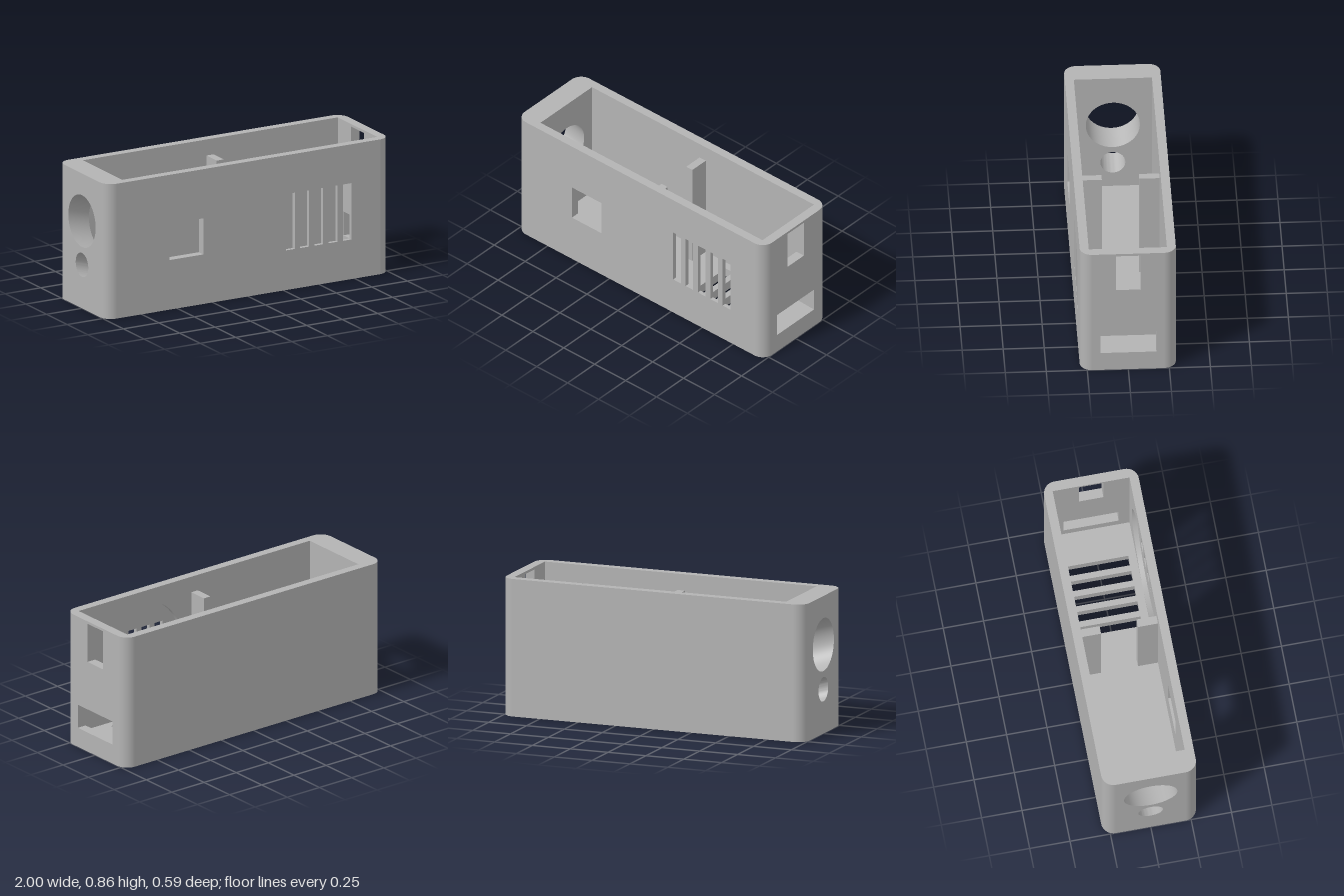
import * as THREE from 'three';
import { toCreasedNormals } from 'three/addons/utils/BufferGeometryUtils.js';

const H = 0.857, W = 1, D = 0.293, R = 0.075;        // outer shell
const X0 = -0.855, X1 = 0.94, Z = 0.238, FLOOR = 0.06; // cavity

// Frames turn (u, v, distance outward) into a position for each side
const frames = {
  front: (u, v, d) => [u, v, d],
  back: (u, v, d) => [-u, v, -d],
  right: (u, v, d) => [-d, v, u],
  left: (u, v, d) => [d, v, -u],
  bottom: (u, v, d) => [u, -d, v],
  top: (u, v, d) => [u, d, -v],
};

const rect = (u0, u1, v0, v1) =>
  [[u0, v0], [u1, v0], [u1, v1], [u0, v1]].map(p => new THREE.Vector2(...p));

const circle = (u, v, r, n = 64) => Array.from({ length: n }, (_, i) => {
  const a = i / n * Math.PI * 2;
  return new THREE.Vector2(u + r * Math.cos(a), v + r * Math.sin(a));
});

function roundedRect(w, h, r, n = 10) {
  const pts = [];
  [[1, 1], [-1, 1], [-1, -1], [1, -1]].forEach(([sx, sy], q) => {
    for (let i = 0; i <= n; i++) {
      const a = (q + i / n) * Math.PI / 2;
      pts.push(new THREE.Vector2(sx * (w - r) + r * Math.cos(a), sy * (h - r) + r * Math.sin(a)));
    }
  });
  return pts;
}

export function createModel() {
  const model = new THREE.Group();
  model.name = 'enclosure';
  const grey = new THREE.MeshStandardMaterial({ color: 0xb3b3b3, side: THREE.DoubleSide });
  grey.name = 'grey plastic';

  const add = (name, geometry, x = 0, y = 0, z = 0) => {
    const mesh = new THREE.Mesh(geometry, grey);
    mesh.name = name;
    mesh.position.set(x, y, z);
    model.add(mesh);
  };

  // Flat face with holes; inward faces are turned over
  function face(name, frame, outline, holes, d, inward = false) {
    const shape = new THREE.Shape(outline);
    shape.holes = holes.map(h => new THREE.Path(h));
    const geo = new THREE.ShapeGeometry(shape);
    const pos = geo.attributes.position;
    for (let i = 0; i < pos.count; i++) pos.setXYZ(i, ...frame(pos.getX(i), pos.getY(i), d));
    if (inward) geo.index.array.reverse();
    geo.computeVertexNormals();
    add(name, geo);
  }

  // Sides of an opening from its outer to its inner edge; drop slopes it
  function tunnel(name, frame, pts, dOut, dIn, drop = 0) {
    const verts = [];
    pts.forEach((p, i) => {
      const q = pts[(i + 1) % pts.length];
      const a = frame(p.x, p.y, dOut), b = frame(q.x, q.y, dOut);
      const c = frame(p.x, p.y - drop, dIn), e = frame(q.x, q.y - drop, dIn);
      verts.push(...a, ...b, ...c, ...b, ...e, ...c);
    });
    const geo = new THREE.BufferGeometry();
    geo.setAttribute('position', new THREE.Float32BufferAttribute(verts, 3));
    add(name, toCreasedNormals(geo, 0.6));
  }

  function wall(name, frame, outer, dOut, inner, dIn, holes = [], drop = 0) {
    face(name + 'Outside', frame, outer, holes, dOut);
    const moved = holes.map(h => h.map(p => new THREE.Vector2(p.x, p.y - drop)));
    face(name + 'Inside', frame, inner, moved, dIn, true);
    holes.forEach(h => tunnel(name + 'Opening', frame, h, dOut, dIn, drop));
  }

  const longSide = rect(-W + R, W - R, 0, H);
  const endSide = rect(-D + R, D - R, 0, H);
  const endInside = rect(-Z, Z, FLOOR, H);
  const ventX = [0, 1, 2, 3, 4].map(i => 0.297 + i * 0.1);

  // Front wall: window, vents and a round recess behind the vents
  const window = rect(-0.553, -0.315, 0.315, 0.545);
  const vents = ventX.map(x => rect(x - 0.031, x + 0.031, 0.252, 0.61));
  const recess = circle(0.497, 0.431, 0.368, 96);
  const recessZ = Z + 0.03;
  face('frontOutside', frames.front, longSide, [window, ...vents], D);
  face('frontInside', frames.front, rect(X0, X1, FLOOR, H), [window, recess], Z, true);
  face('recessFace', frames.front, recess, vents, recessZ, true);
  tunnel('recessEdge', frames.front, recess, recessZ, Z);
  tunnel('windowOpening', frames.front, window, D, Z);
  vents.forEach(v => tunnel('frontVent', frames.front, v, D, recessZ));

  // Plain back wall
  wall('back', frames.back, longSide, D, rect(-X1, -X0, FLOOR, H), Z);

  // Slotted end at +x
  wall('slottedEnd', frames.left, endSide, W, endInside, X1,
    [rect(-0.076, 0.076, 0.59, 0.841), rect(-0.171, 0.171, 0.125, 0.277)]);

  // Thick end at -x with two sloping round holes
  wall('thickEnd', frames.right, endSide, W, endInside, -X0,
    [circle(0, 0.554, 0.165), circle(0, 0.276, 0.076)], 0.041);

  // Floor with vents, and the top rim
  const outline = roundedRect(W, D, R);
  wall('floor', frames.bottom, outline, 0, rect(X0, X1, -Z, Z), -FLOOR,
    ventX.map(x => rect(x - 0.031, x + 0.031, -0.19, 0.19)));
  face('rim', frames.top, outline, [rect(X0, X1, -Z, Z)], H);

  // Rounded upright corners
  [[1, 1], [1, -1], [-1, -1], [-1, 1]].forEach(([sx, sz], i) => {
    add('roundedCorner',
      new THREE.CylinderGeometry(R, R, H, 10, 1, true, i * Math.PI / 2, Math.PI / 2),
      sx * (W - R), H / 2, sz * (D - R));
  });

  // Pair of ribs across the cavity
  const ribTop = 0.755, ribEnd = 0.114;
  for (const s of [-1, 1]) {
    add('rib', new THREE.BoxGeometry(0.05, ribTop - FLOOR, Z - ribEnd),
      0.04, (ribTop + FLOOR) / 2, s * (Z + ribEnd) / 2);
  }
  return model;
}
